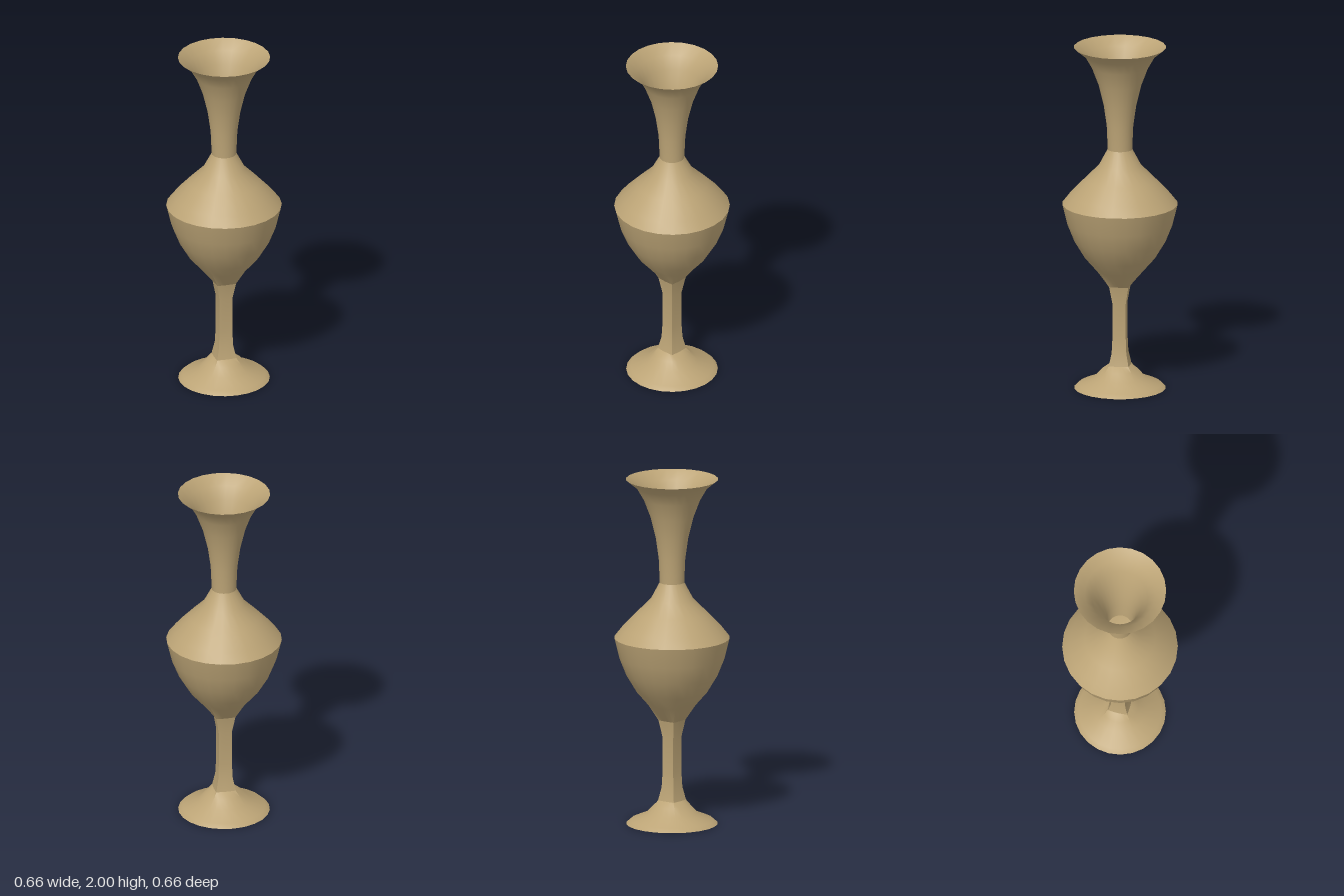
import * as THREE from 'three';
import { toCreasedNormals } from 'three/addons/utils/BufferGeometryUtils.js';

const SEGMENTS = 24;

// Turned shell from [radius, height, squareness] rings, listed bottom to top.
// Squareness 1 pushes a ring out to a square cross-section, 0 leaves it round.
function turned(name, rings, material, crease = 0.6) {
  const profile = rings.map(([r, y]) => new THREE.Vector2(r, y));
  const geometry = new THREE.LatheGeometry(profile, SEGMENTS);
  const pos = geometry.attributes.position;
  for (let i = 0; i < pos.count; i++) {
    const square = rings[i % rings.length][2] || 0;
    const angle = Math.atan2(pos.getX(i), pos.getZ(i));
    const toSquare = 1 / Math.max(Math.abs(Math.cos(angle)), Math.abs(Math.sin(angle)));
    const k = 1 + square * (toSquare - 1);
    pos.setXYZ(i, pos.getX(i) * k, pos.getY(i), pos.getZ(i) * k);
  }
  const mesh = new THREE.Mesh(toCreasedNormals(geometry, crease), material);
  mesh.name = name;
  return mesh;
}

export function createModel() {
  const group = new THREE.Group();
  group.name = 'vase';
  const clay = new THREE.MeshStandardMaterial({ color: 0xbca476, side: THREE.DoubleSide });
  clay.name = 'tan clay';

  // Flat underside
  const base = new THREE.Mesh(new THREE.CircleGeometry(0.26, SEGMENTS), clay);
  base.rotation.x = Math.PI / 2;
  base.name = 'base';
  group.add(base);

  // Spreading foot
  group.add(turned('foot', [
    [0.26, 0], [0.235, 0.022], [0.145, 0.06], [0.105, 0.105], [0.06, 0.135, 0.8],
  ], clay));

  // Slim square stem
  group.add(turned('stem', [
    [0.06, 0.135, 0.8], [0.042, 0.21, 1], [0.038, 0.3, 1], [0.038, 0.5, 1], [0.058, 0.6, 0.8],
  ], clay));

  // Lower half of the belly
  group.add(turned('bowl', [
    [0.058, 0.6, 0.8], [0.135, 0.69], [0.2, 0.765], [0.26, 0.865], [0.3, 0.965], [0.328, 1.08],
  ], clay));

  // Sloping upper half of the belly
  group.add(turned('shoulder', [
    [0.328, 1.08], [0.285, 1.135], [0.2, 1.225], [0.12, 1.305], [0.07, 1.4],
  ], clay));

  // Flared, open neck
  group.add(turned('neck', [
    [0.07, 1.4], [0.076, 1.54], [0.093, 1.66], [0.122, 1.78], [0.16, 1.88], [0.2, 1.95], [0.262, 2],
  ], clay, 0.8));

  return group;
}
